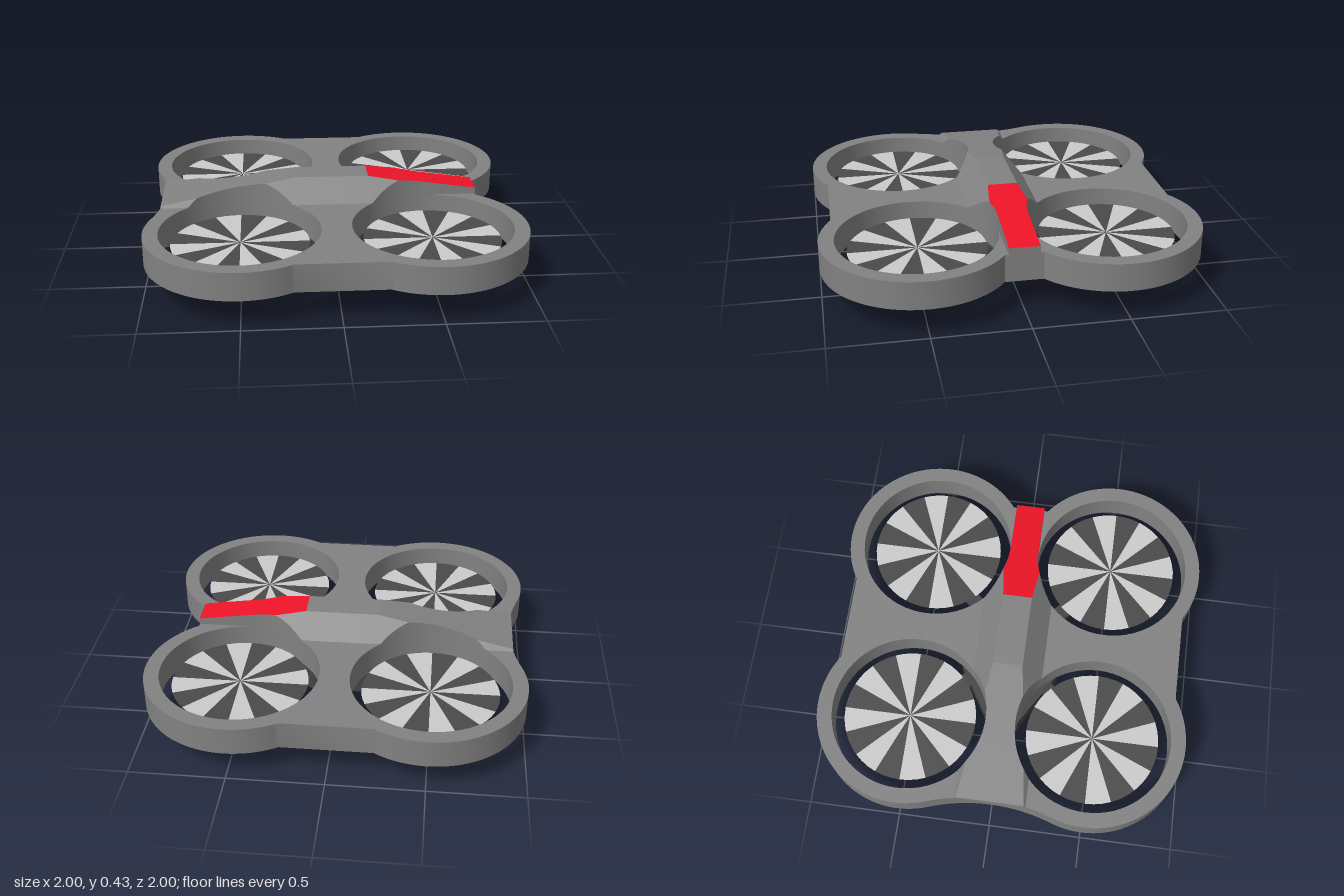
import * as THREE from 'three';
import { mergeGeometries, toCreasedNormals } from 'three/addons/utils/BufferGeometryUtils.js';

const mat = (color, extra = {}) => new THREE.MeshStandardMaterial({ color, ...extra });
const TOP = 0.31, BOTTOM = 0.16, C = 0.5, HOLE = 0.42;

function add(parent, name, geometry, material) {
  const mesh = new THREE.Mesh(geometry, material);
  mesh.name = name;
  parent.add(mesh);
  return mesh;
}

// Flat frame: four ring guards joined by a deck, with a concave -x edge
function frameGeometry() {
  const s = new THREE.Shape();
  s.moveTo(0.8, -0.1);
  s.lineTo(0.8, 0.1);
  s.absarc(C, C, 0.5, -0.927, 2.125, false);
  s.absarc(-C, C, 0.5, 1.017, 3.478, false);
  s.absarc(-1.928, 0, 1.013, 0.336, -0.336, true);
  s.absarc(-C, -C, 0.5, -3.478, -1.017, false);
  s.absarc(C, -C, 0.5, -2.125, 0.927, false);
  for (const x of [-C, C]) for (const z of [-C, C]) {
    s.holes.push(new THREE.Path().absarc(x, z, HOLE, 0, Math.PI * 2, true));
  }
  const g = new THREE.ExtrudeGeometry(s, { depth: TOP - BOTTOM, bevelEnabled: false, curveSegments: 32 });
  g.rotateX(Math.PI / 2).translate(0, TOP, 0);
  return toCreasedNormals(g, 0.6);
}

// Cross-section of the spine at x, trimmed by the rotor openings
function spineSection(x) {
  const slope = 0.917, base = 0.19;
  const height = 0.43 - Math.max(0, Math.abs(x) - 0.2) * (x < 0 ? 0.15 : 0.142);
  const d = Math.abs(x) - C;
  let limit = Math.abs(d) < HOLE ? C - Math.sqrt(HOLE * HOLE - d * d) : base;
  if (x > C) limit = 0.08;
  const m = Math.min(limit, base);
  const w = Math.min(base - (height - TOP) * slope, m);
  const shoulder = Math.min(height, TOP + (base - m) / slope);
  return [[-m, TOP], [-m, shoulder], [-w, height], [w, height], [m, shoulder], [m, TOP]]
    .map(([z, y]) => [x < -0.92 ? -1.928 + Math.sqrt(1.013 ** 2 - z * z) : x, y, z]);
}

// Lofts the spine; the top faces beyond x = 0.2 become the red stripe
function spineGeometries() {
  const xs = [-0.93];
  for (let i = -45; i <= 40; i++) xs.push(i / 50);
  const rows = xs.map(spineSection);
  const body = [], stripe = [];
  for (let i = 0; i < rows.length - 1; i++) {
    for (let j = 0; j < 5; j++) {
      const a = rows[i][j], b = rows[i][j + 1], c = rows[i + 1][j + 1], d = rows[i + 1][j];
      const target = j === 2 && xs[i] > 0.19 ? stripe : body;
      target.push(...a, ...b, ...c, ...a, ...c, ...d);
    }
  }
  // End caps
  const first = rows[0], last = rows[rows.length - 1];
  for (let j = 1; j < 5; j++) {
    body.push(...last[0], ...last[j], ...last[j + 1]);
    body.push(...first[0], ...first[j + 1], ...first[j]);
  }
  return [body, stripe].map((p) => {
    const g = new THREE.BufferGeometry();
    g.setAttribute('position', new THREE.Float32BufferAttribute(p, 3));
    g.computeVertexNormals();
    return g;
  });
}

// Eight wedges of a sixteen-sided disc
function bladeGeometry(offset) {
  const step = Math.PI / 8, wedges = [];
  for (let k = 0; k < 8; k++) {
    wedges.push(new THREE.CircleGeometry(0.36, 1, (2 * k + offset) * step, step));
  }
  return mergeGeometries(wedges).rotateX(-Math.PI / 2);
}

export function createModel() {
  const model = new THREE.Group();
  model.name = 'quadRotorDrone';
  const grey = mat(0x828282);
  const dark = mat(0x444444);
  const darkBlade = mat(0x4a4a4a, { side: THREE.DoubleSide });
  const lightBlade = mat(0xcccccc, { side: THREE.DoubleSide });

  add(model, 'frame', frameGeometry(), grey);
  const [spine, stripe] = spineGeometries();
  add(model, 'spine', spine, grey);
  add(model, 'redStripe', stripe, mat(0xf01428));

  // Eight-sided belly pod
  const outline = [[0.45, -0.08], [0.45, 0.08], [0.14, 0.27], [-0.14, 0.27],
    [-0.45, 0.08], [-0.45, -0.08], [-0.14, -0.27], [0.14, -0.27]];
  const pod = new THREE.ExtrudeGeometry(
    new THREE.Shape(outline.map(([x, z]) => new THREE.Vector2(x, z))),
    { depth: 0.115, bevelEnabled: false });
  pod.rotateX(Math.PI / 2).translate(0, 0.16, 0);
  add(model, 'bellyPod', pod, dark);

  // Rotors with their motors and diagonal arms
  const bladesA = bladeGeometry(0), bladesB = bladeGeometry(1);
  const motor = new THREE.BoxGeometry(0.16, 0.115, 0.16);
  const arm = new THREE.BoxGeometry(0.5, 0.04, 0.08);
  for (const x of [-C, C]) for (const z of [-C, C]) {
    const unit = new THREE.Group();
    unit.name = 'rotorUnit';
    unit.position.set(x, 0, z);
    unit.rotation.y = 0;
    add(unit, 'lightBlades', bladesA, lightBlade).position.y = 0.24;
    add(unit, 'darkBlades', bladesB, darkBlade).position.y = 0.24;
    const m = add(unit, 'motor', motor, dark);
    m.position.y = 0.0575;
    m.rotation.y = Math.PI / 4;
    const a = add(unit, 'arm', arm, dark);
    a.position.set(-x * 0.33, 0.135, -z * 0.33);
    a.rotation.y = Math.atan2(-z, x);
    model.add(unit);
  }
  return model;
}
